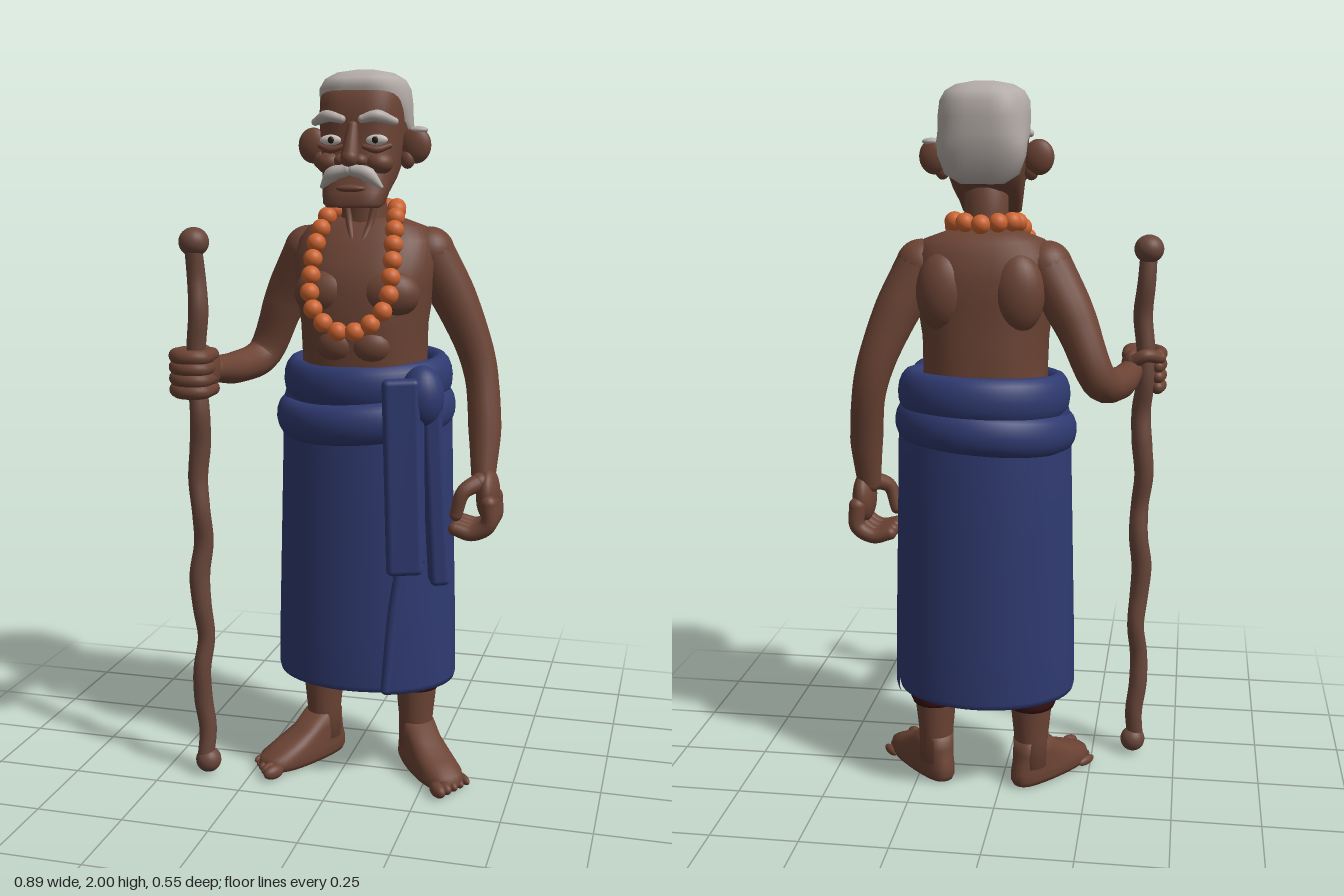
import * as THREE from 'three';
import { RoundedBoxGeometry } from 'three/addons/geometries/RoundedBoxGeometry.js';

const paint = (name, color) => {
  const m = new THREE.MeshStandardMaterial({ color });
  m.name = name;
  return m;
};
const V = (p) => new THREE.Vector3(...p);
const CX = 0.053; // body centre line

// Stack of rounded cross-sections: [y, centreX, halfWidth, zFront, zBack]
function loft(rows, power = 2, n = 40) {
  const pos = [], idx = [];
  const bend = (v) => Math.sign(v) * Math.abs(v) ** (2 / power);
  for (const [y, cx, hw, zf, zb] of rows) {
    for (let j = 0; j < n; j++) {
      const t = (j / n) * Math.PI * 2;
      pos.push(cx + hw * bend(Math.cos(t)), y, (zf + zb) / 2 + ((zf - zb) / 2) * bend(Math.sin(t)));
    }
  }
  const last = rows.length - 1;
  for (const k of [0, last]) pos.push(rows[k][1], rows[k][0], (rows[k][3] + rows[k][4]) / 2);
  const bottom = rows.length * n;
  for (let j = 0; j < n; j++) {
    const k = (j + 1) % n;
    for (let i = 0; i < last; i++) {
      const a = i * n + j, b = i * n + k;
      idx.push(a, a + n, b, b, a + n, b + n);
    }
    idx.push(bottom, j, k, bottom + 1, last * n + k, last * n + j);
  }
  const g = new THREE.BufferGeometry();
  g.setAttribute('position', new THREE.Float32BufferAttribute(pos, 3));
  g.setIndex(idx);
  g.computeVertexNormals();
  return g;
}

// Tube along points whose radius follows the given list
function taper(points, radii, seg = 28, sides = 16) {
  const curve = new THREE.CatmullRomCurve3(points.map(V));
  const g = new THREE.TubeGeometry(curve, seg, 1, sides);
  const p = g.attributes.position, v = new THREE.Vector3();
  for (let i = 0; i < p.count; i++) {
    const u = Math.floor(i / (sides + 1)) / seg;
    const f = u * (radii.length - 1), k = Math.min(Math.floor(f), radii.length - 2);
    const c = curve.getPointAt(u);
    v.fromBufferAttribute(p, i).sub(c).multiplyScalar(THREE.MathUtils.lerp(radii[k], radii[k + 1], f - k)).add(c);
    p.setXYZ(i, v.x, v.y, v.z);
  }
  return g;
}

export function createModel() {
  const skin = paint('skin', 0x6b4334), hair = paint('greyHair', 0xb3aba6);
  const cloth = paint('blueCloth', 0x2f3a70), bead = paint('orangeBeads', 0xcc6430);
  const wood = paint('staffWood', 0x68463a), shorts = paint('maroonShorts', 0x3a1113);
  const eye = paint('eyeWhite', 0xc9c2bb), pupil = paint('pupil', 0x241814);
  const model = new THREE.Group();

  const add = (name, geo, mat, parent = model) => {
    const m = new THREE.Mesh(geo, mat);
    m.name = name;
    parent.add(m);
    return m;
  };
  const ball = (name, mat, at, size, parent = model) => {
    const m = add(name, new THREE.SphereGeometry(1, 24, 16), mat, parent);
    m.position.set(...at);
    m.scale.set(...size);
    return m;
  };
  // Tapered limb closed by round ends
  const limb = (name, mat, pts, radii, parent = model) => {
    const g = new THREE.Group();
    g.name = name;
    parent.add(g);
    add(name + 'Length', taper(pts, radii), mat, g);
    [0, 1].forEach((e) => {
      const r = radii[e * (radii.length - 1)];
      ball(name + 'End', mat, pts[e * (pts.length - 1)], [r, r, r], g);
    });
    return g;
  };

  // Torso and neck
  add('torso', loft([
    [1.08, CX, 0.175, 0.13, -0.17], [1.22, CX, 0.172, 0.14, -0.175], [1.32, CX, 0.175, 0.145, -0.165],
    [1.42, CX, 0.19, 0.14, -0.165], [1.49, CX, 0.2, 0.12, -0.165], [1.55, CX, 0.19, 0.085, -0.15],
    [1.585, CX, 0.165, 0.06, -0.13], [1.605, CX, 0.11, 0.045, -0.105], [1.615, CX, 0.05, 0.02, -0.06],
  ], 2.4), skin);
  add('neck', loft([[1.52, CX, 0.085, 0.06, -0.09], [1.6, CX, 0.066, 0.05, -0.065],
    [1.66, CX, 0.06, 0.055, -0.05], [1.76, CX, 0.06, 0.06, -0.05]]), skin);
  for (const s of [-1, 1]) {
    ball('pectoral', skin, [CX + s * 0.085, 1.41, 0.085], [0.09, 0.07, 0.062]);
    ball('shoulderBlade', skin, [CX + s * 0.1, 1.45, -0.115], [0.075, 0.11, 0.06]);
    limb('neckTendon', skin, [[CX + s * 0.045, 1.69, 0.04], [CX + s * 0.03, 1.6, 0.05], [CX + s * 0.015, 1.55, 0.075]], [0.009, 0.01, 0.008]);
    ball('belly', skin, [CX + s * 0.045, 1.27, 0.11], [0.06, 0.05, 0.043]);
  }

  // Head
  const head = new THREE.Group();
  head.name = 'head';
  model.add(head);
  add('skull', loft([
    [1.64, CX, 0.07, 0.155, 0.085], [1.65, CX, 0.082, 0.163, 0.07], [1.68, CX, 0.088, 0.158, 0.03],
    [1.715, CX, 0.096, 0.145, -0.04], [1.76, CX, 0.105, 0.135, -0.09], [1.81, CX, 0.111, 0.122, -0.12],
    [1.86, CX, 0.115, 0.13, -0.13], [1.91, CX, 0.115, 0.125, -0.13], [1.95, CX, 0.11, 0.112, -0.12], [1.975, CX, 0.08, 0.07, -0.1],
  ], 2.8), skin, head);
  add('hairCap', loft([
    [1.735, CX, 0.06, -0.04, -0.1], [1.76, CX, 0.1, -0.025, -0.12], [1.81, CX, 0.118, -0.015, -0.136],
    [1.845, CX, 0.121, 0.0, -0.142], [1.865, CX, 0.122, 0.07, -0.144], [1.91, CX, 0.122, 0.098, -0.146],
    [1.95, CX, 0.118, 0.118, -0.143], [1.975, CX, 0.104, 0.105, -0.13], [1.992, CX, 0.075, 0.07, -0.1], [2.0, CX, 0.03, 0.02, -0.05],
  ], 2.8), hair, head);

  // Paired face parts
  for (const s of [-1, 1]) {
    const x = (d) => CX + s * d;
    ball('ear', skin, [x(0.143), 1.802, 0.005], [0.042, 0.048, 0.022], head);
    ball('earLobe', skin, [x(0.122), 1.765, 0.012], [0.02, 0.025, 0.016], head);
    limb('eyebrow', hair, [[x(0.028), 1.868, 0.14], [x(0.065), 1.876, 0.14], [x(0.108), 1.862, 0.108]], [0.011, 0.016, 0.01], head);
    ball('eye', eye, [x(0.062), 1.815, 0.118], [0.03, 0.014, 0.011], head);
    ball('pupil', pupil, [x(0.06), 1.815, 0.127], [0.009, 0.009, 0.004], head);
    limb('lowerLid', skin, [[x(0.03), 1.797, 0.123], [x(0.062), 1.79, 0.126], [x(0.095), 1.8, 0.108]], [0.007, 0.01, 0.007], head);
    ball('cheek', skin, [x(0.066), 1.755, 0.108], [0.038, 0.03, 0.036], head);
    ball('nostril', skin, [x(0.025), 1.762, 0.15], [0.02, 0.017, 0.02], head);
    limb('moustache', hair, [[x(0.008), 1.738, 0.16], [x(0.045), 1.728, 0.16], [x(0.08), 1.695, 0.142]], [0.016, 0.02, 0.006], head);
  }
  ball('earTuft', hair, [CX + 0.15, 1.842, 0.004], [0.026, 0.01, 0.017], head);
  limb('nose', skin, [[CX, 1.85, 0.128], [CX, 1.8, 0.148], [CX, 1.768, 0.16]], [0.014, 0.02, 0.025], head);
  ball('lowerLip', skin, [CX, 1.69, 0.153], [0.04, 0.01, 0.014], head);

  // Right arm, bent forward, gripping the staff
  limb('rightArm', skin, [[-0.12, 1.515, -0.05], [-0.2, 1.37, -0.08], [-0.27, 1.21, -0.085], [-0.315, 1.185, 0.02], [-0.343, 1.195, 0.14]],
    [0.07, 0.066, 0.055, 0.05, 0.046, 0.036]);
  ball('rightPalm', skin, [-0.345, 1.2, 0.175], [0.032, 0.06, 0.06]);
  for (let i = 0; i < 4; i++) {
    const y = 1.147 + i * 0.031;
    limb('rightFinger', skin, [[-0.335, y, 0.17], [-0.342, y, 0.245], [-0.39, y, 0.252], [-0.425, y, 0.21], [-0.42, y, 0.16]], [0.02, 0.021, 0.019]);
  }
  limb('rightThumb', skin, [[-0.35, 1.225, 0.13], [-0.385, 1.245, 0.125], [-0.425, 1.235, 0.155]], [0.02, 0.018]);

  // Left arm, hanging, loosely curled hand
  limb('leftArm', skin, [[0.225, 1.515, -0.05], [0.3, 1.37, -0.08], [0.362, 1.2, -0.098], [0.385, 1.04, -0.07], [0.39, 0.89, -0.035]],
    [0.07, 0.064, 0.054, 0.047, 0.047, 0.034]);
  ball('leftPalm', skin, [0.405, 0.845, -0.03], [0.033, 0.075, 0.066]);
  for (let i = 0; i < 4; i++) {
    const z = -0.083 + i * 0.036;
    limb('leftFinger', skin, [[0.415, 0.83, z], [0.415, 0.77, z], [0.37, 0.742, z], [0.322, 0.752, z]], [0.024, 0.023, 0.019]);
  }
  limb('leftThumb', skin, [[0.385, 0.885, 0.0], [0.345, 0.86, 0.03], [0.325, 0.795, 0.03]], [0.026, 0.02, 0.018]);

  // Legs, shorts and feet
  for (const [side, x, turn] of [['right', -0.085, -0.6], ['left', 0.197, 0.68]]) {
    const leg = new THREE.Group();
    leg.name = side + 'Leg';
    leg.position.set(x, 0, -0.07);
    model.add(leg);
    add('shin', loft([[0.06, 0, 0.05, 0.055, -0.055], [0.15, 0, 0.05, 0.052, -0.052], [0.25, 0, 0.06, 0.06, -0.062], [0.45, 0, 0.07, 0.07, -0.07]]), skin, leg);
    add('shortsLeg', loft([[0.245, 0, 0.066, 0.07, -0.07], [0.26, 0, 0.072, 0.076, -0.076], [0.47, 0, 0.09, 0.09, -0.1]]), shorts, leg);
    const foot = new THREE.Group();
    foot.name = side + 'Foot';
    foot.rotation.y = turn;
    leg.add(foot);
    const g = loft([[0.005, 0, 0.047, 0.225, -0.062], [0.02, 0, 0.053, 0.235, -0.07], [0.045, 0, 0.052, 0.225, -0.07],
      [0.07, 0, 0.05, 0.17, -0.062], [0.1, 0, 0.048, 0.1, -0.056], [0.14, 0, 0.046, 0.055, -0.052]], 2.5);
    const p = g.attributes.position; // widen towards the toes
    for (let i = 0; i < p.count; i++) p.setX(i, p.getX(i) * (1 + 1.6 * Math.max(0, p.getZ(i))));
    g.computeVertexNormals();
    add('footBody', g, skin, foot);
    const inner = side === 'right' ? 1 : -1;
    for (let i = 0; i < 5; i++) {
      const r = 0.021 - i * 0.0018;
      ball('toe', skin, [inner * (0.05 - i * 0.027), r, 0.235 - i * 0.012], [r * 0.9, r, 0.034], foot);
    }
  }

  // Wrapped skirt, hollow below
  const ring = (pts) => pts.map(([r, y]) => new THREE.Vector2(r, y));
  const skirt = add('skirt', new THREE.LatheGeometry(ring([[0, 0.46], [0.9, 0.46], [0.93, 0.31], [0.95, 0.297], [0.985, 0.295],
    [1, 0.31], [0.995, 0.45], [0.96, 0.8], [0.93, 1.1], [0.85, 1.18]]), 64), cloth);
  const flap = add('skirtFlap', new THREE.LatheGeometry(ring([[0.97, 0.29], [1.02, 0.29], [1.035, 0.305], [1.02, 0.5],
    [0.985, 0.8], [0.955, 1.08], [0.9, 1.09]]), 32, 0.4, 1.6), cloth);
  for (const m of [skirt, flap]) {
    m.position.set(0.05, 0, -0.043);
    m.scale.set(0.256, 1, 0.202);
  }
  limb('flapEdge', cloth, [[0.215, 0.8, 0.115], [0.175, 0.55, 0.137], [0.153, 0.305, 0.143]], [0.014, 0.016, 0.014]);

  // Rolled waistband
  const roll = (name, at, rx, rz, r, tall, tiltX, tiltZ) => {
    const pts = Array.from({ length: 24 }, (_, i) => new THREE.Vector3(rx * Math.cos(i * Math.PI / 12), 0, rz * Math.sin(i * Math.PI / 12)));
    const m = add(name, new THREE.TubeGeometry(new THREE.CatmullRomCurve3(pts, true), 64, r, 16, true), cloth);
    m.position.set(...at);
    m.scale.y = tall;
    m.rotation.set(tiltX, 0, tiltZ);
  };
  roll('upperRoll', [CX, 1.165, -0.05], 0.205, 0.182, 0.035, 1.8, 0.06, 0.02);
  roll('lowerRoll', [0.05, 1.073, -0.037], 0.217, 0.203, 0.038, 1.5, 0.07, 0.07);

  // Knot and hanging sash ends
  ball('sashKnot', cloth, [0.245, 1.14, 0.125], [0.06, 0.085, 0.06]);
  const strip = (name, w, h, d, at, rot) => {
    const m = add(name, new RoundedBoxGeometry(w, h, d, 4, 0.016), cloth);
    m.position.set(...at);
    m.rotation.set(...rot);
  };
  strip('sashFront', 0.1, 0.54, 0.045, [0.205, 0.925, 0.178], [0, 0.3, 0.03]);
  strip('sashSide', 0.055, 0.57, 0.07, [0.278, 0.9, 0.108], [0, 0.35, 0.06]);
  strip('sashFold', 0.035, 0.5, 0.045, [0.24, 0.93, 0.15], [0, 0.5, 0.02]);

  // Bead necklace
  const strand = new THREE.CatmullRomCurve3([
    [CX, 1.63, -0.1], [-0.02, 1.635, -0.065], [-0.04, 1.62, 0.02], [-0.055, 1.56, 0.085], [-0.06, 1.47, 0.135], [-0.05, 1.38, 0.167],
    [0.012, 1.32, 0.182], [0.085, 1.32, 0.182], [0.15, 1.38, 0.167], [0.16, 1.47, 0.135], [0.155, 1.56, 0.085], [0.145, 1.62, 0.02], [0.125, 1.635, -0.065],
  ].map(V), true);
  for (let i = 0; i < 25; i++) ball('bead', bead, strand.getPointAt(i / 25).toArray(), [0.026, 0.026, 0.026]);

  // Walking staff with knobs
  const staffPts = Array.from({ length: 17 }, (_, i) => [-0.381 + 0.007 * Math.sin(i * 1.9), 0.04 + i * 0.094, 0.16 + 0.007 * Math.cos(i * 2.3)]);
  add('staff', taper(staffPts, [0.024, 0.027, 0.025, 0.03, 0.026, 0.03, 0.026, 0.028, 0.024], 64, 12), wood);
  ball('staffTopKnob', wood, [-0.387, 1.545, 0.155], [0.042, 0.04, 0.042]);
  ball('staffFootKnob', wood, [-0.373, 0.042, 0.16], [0.037, 0.037, 0.037]);
  return model;
}
